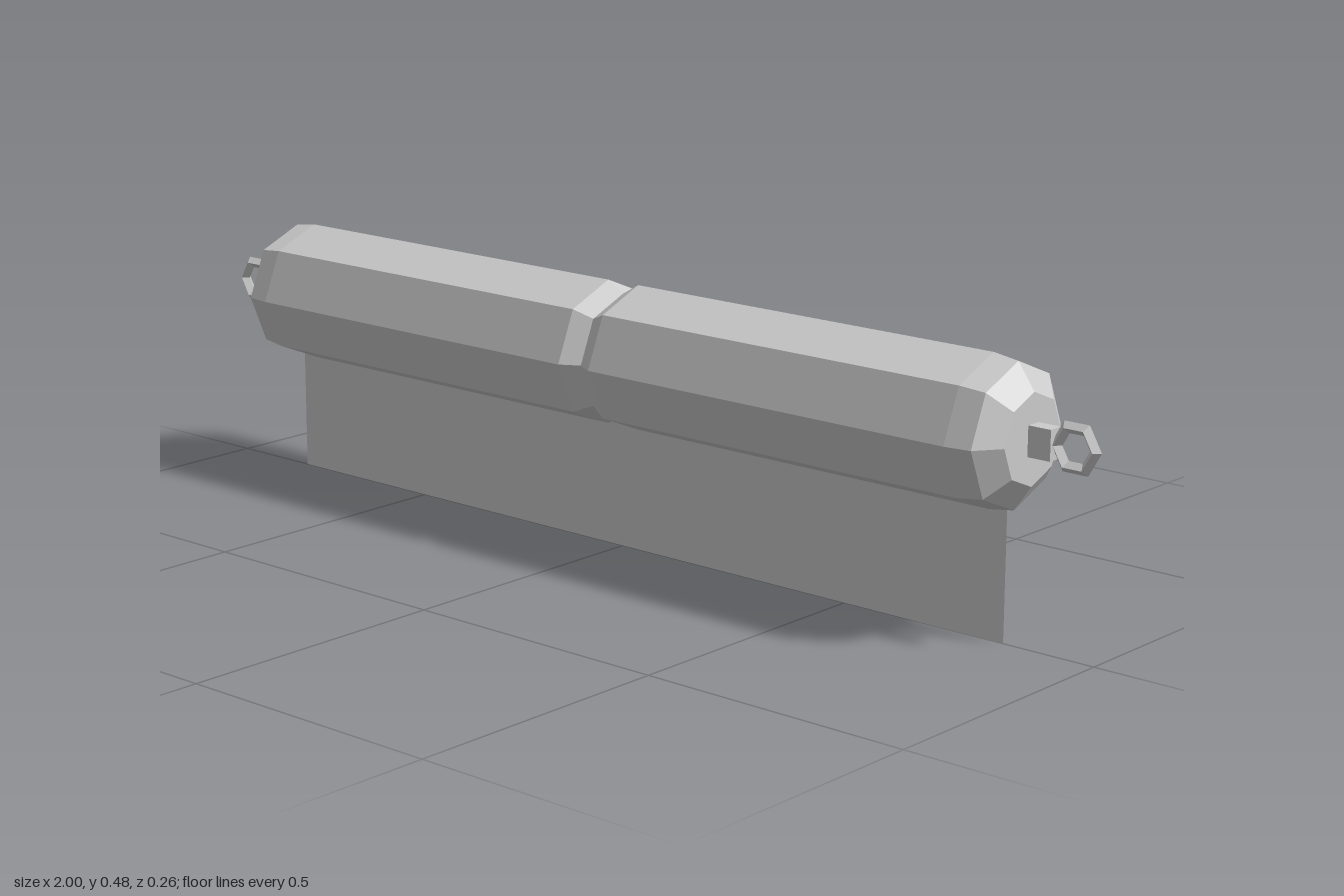
import * as THREE from 'three';

export function createModel() {
  const model = new THREE.Group();
  model.name = 'floatingBoom';

  const grey = new THREE.MeshStandardMaterial({ color: 0xcccccc, flatShading: true });
  grey.name = 'light grey';
  const sheetGrey = grey; // the open sheet shares the same colour
  sheetGrey.side = THREE.DoubleSide;

  const AXIS_Y = 0.35;

  function add(name, geometry, x, y) {
    const mesh = new THREE.Mesh(geometry, grey);
    mesh.name = name;
    mesh.position.set(x, y, 0);
    model.add(mesh);
    return mesh;
  }

  // Eight-sided float with a pinched waist and bevelled ends: [x, radius]
  const half = [[0.035, 0.13], [0.79, 0.13], [0.838, 0.123], [0.87, 0.078], [0.87, 0]];
  const profile = [
    ...half.map(([x, r]) => new THREE.Vector2(r, -x)).reverse(),
    new THREE.Vector2(0.11, 0),
    ...half.map(([x, r]) => new THREE.Vector2(r, x)),
  ];
  const float = add('float', new THREE.LatheGeometry(profile, 8), 0, AXIS_Y);
  float.rotation.z = -Math.PI / 2;

  // Thin skirt hanging below the float
  add('skirt', new THREE.PlaneGeometry(1.65, 0.25), 0, 0.125);

  // Connector tab and hexagonal ring at each end
  for (const [side, s] of [['left', 1], ['right', -1]]) {
    add(side + 'Tab', new THREE.BoxGeometry(0.05, 0.052, 0.028), s * 0.888, AXIS_Y);
    add(side + 'Ring', new THREE.TorusGeometry(0.037, 0.011, 4, 6), s * 0.952, AXIS_Y);
  }

  return model;
}
